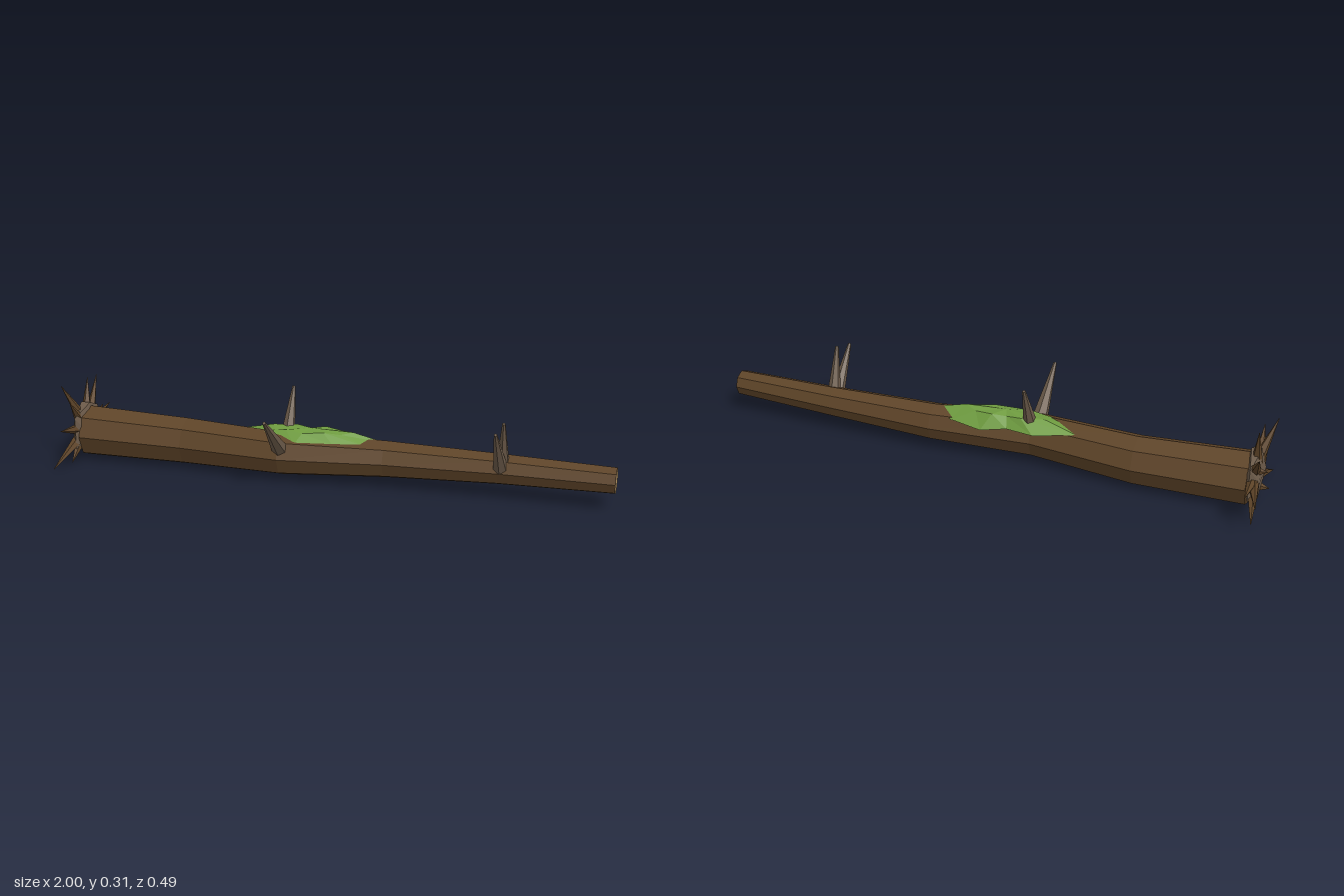
import * as THREE from 'three';

const mat = (name, color, side = THREE.FrontSide) =>
  Object.assign(new THREE.MeshStandardMaterial({ color, flatShading: true, side }), { name });

export function createModel() {
  const group = new THREE.Group();
  const bark = mat('bark', 0x5e4428);
  const cutWood = mat('cut wood', 0xb39363);
  const thornWood = mat('thorn wood', 0x6b5a49);
  const mossGreen = mat('moss green', 0x6f9c40, THREE.DoubleSide);
  const V = (x, y, z) => new THREE.Vector3(x, y, z);

  const add = (name, geometry, material) => {
    const g = geometry.index ? geometry.toNonIndexed() : geometry;
    g.computeVertexNormals();
    const mesh = new THREE.Mesh(g, material);
    mesh.name = name;
    group.add(mesh);
    return mesh;
  };

  // Surface from a list of equal-length rings, each joined to the next
  const loft = (rings) => {
    const n = rings[0].length, index = [];
    for (let r = 0; r < rings.length - 1; r++) {
      for (let i = 0; i < n; i++) {
        const a = r * n + i, b = r * n + (i + 1) % n;
        index.push(a, b, a + n, b, b + n, a + n);
      }
    }
    const g = new THREE.BufferGeometry().setFromPoints(rings.flat());
    g.setIndex(index);
    return g;
  };

  // Tapered spike between two points
  const spike = (name, from, to, r0, r1, sides, material) => {
    const dir = to.clone().sub(from);
    const g = new THREE.CylinderGeometry(r1, r0, dir.length(), sides);
    const mesh = add(name, g, material);
    mesh.position.copy(from).addScaledVector(dir, 0.5);
    mesh.quaternion.setFromUnitVectors(V(0, 1, 0), dir.normalize());
  };

  // Bent eight-sided trunk: x, centre y, centre z, radius
  const sections = [
    [-0.94, 0.096, -0.007, 0.096], [-0.55, 0.089, -0.014, 0.088],
    [-0.17, 0.092, 0.026, 0.079], [0.2, 0.094, -0.014, 0.068],
    [0.6, 0.099, -0.015, 0.056], [1, 0.102, -0.003, 0.047],
  ];
  const ring = ([x, y, z, r]) => Array.from({ length: 8 }, (_, i) => {
    const a = i * Math.PI / 4;
    return V(x, y + r * Math.cos(a), z + r * Math.sin(a));
  });
  const rings = sections.map(ring);
  const [x0, y0, z0] = sections[0];
  add('trunk', loft([ring([x0, y0, z0, 0]), ...rings]), bark);
  const [x1, y1, z1] = sections[5];
  add('cutEnd', loft([rings[5], ring([x1, y1, z1, 0])]), cutWood);

  // Flattened knob on the thick end
  const knob = add('rootKnob', new THREE.IcosahedronGeometry(0.112, 0), thornWood);
  knob.scale.x = 0.3;
  knob.position.set(-0.95, 0.11, -0.003);

  // Spikes radiating from the knob: tip x, y, z
  [
    [-0.98, 0.013, 0.218], [-0.95, 0.013, 0.13], [-0.96, 0.148, 0.185],
    [-1, 0.285, 0.083], [-0.96, 0.287, -0.048], [-0.99, 0.258, -0.182],
    [-0.96, 0.137, -0.22], [-1, 0.12, -0.245], [-0.98, 0.012, -0.168],
    [-0.95, 0.235, 0.12], [-1, 0.05, 0.02], [-1, 0.15, -0.05],
  ].forEach(([x, y, z]) => {
    const out = V(0, y - 0.105, z).normalize().multiplyScalar(0.055);
    spike('rootSpike', V(-0.955, 0.105 + out.y, out.z), V(x, y, z), 0.021, 0.001, 5, bark);
  });

  // Blunt thorns along the trunk
  [
    [V(-0.165, 0.125, 0.075), V(-0.163, 0.274, 0.243), 0.029],
    [V(-0.165, 0.14, -0.015), V(-0.162, 0.311, -0.086), 0.027],
    [V(0.61, 0.115, 0.022), V(0.607, 0.27, 0.132), 0.026],
    [V(0.615, 0.12, 0.005), V(0.622, 0.287, 0.06), 0.025],
  ].forEach(([a, b, r]) => spike('thorn', a, b, r, 0.006, 6, thornWood));

  // Moss patch draped over the top: rim points x, y, z
  const rim = [
    [-0.34, 0.152, -0.04], [-0.31, 0.15, 0.045], [-0.23, 0.147, 0.05], [-0.115, 0.145, 0.072],
    [0.02, 0.148, 0.046], [0.13, 0.148, 0.025], [0.205, 0.152, -0.015],
    [0.12, 0.138, -0.062], [0, 0.13, -0.086], [-0.09, 0.14, -0.062], [-0.19, 0.14, -0.077],
  ].map((p) => V(...p));
  const mid = V(-0.07, 0.187, -0.004);
  const crown = rim.map((p, i) => {
    const q = p.clone().lerp(mid, 0.45);
    q.y = i % 2 ? 0.176 : 0.182;
    return q;
  });
  const under = rim.map(() => V(-0.07, 0.115, -0.004));
  add('mossPatch', loft([under, rim, crown, rim.map(() => mid.clone())]), mossGreen);

  return group;
}
